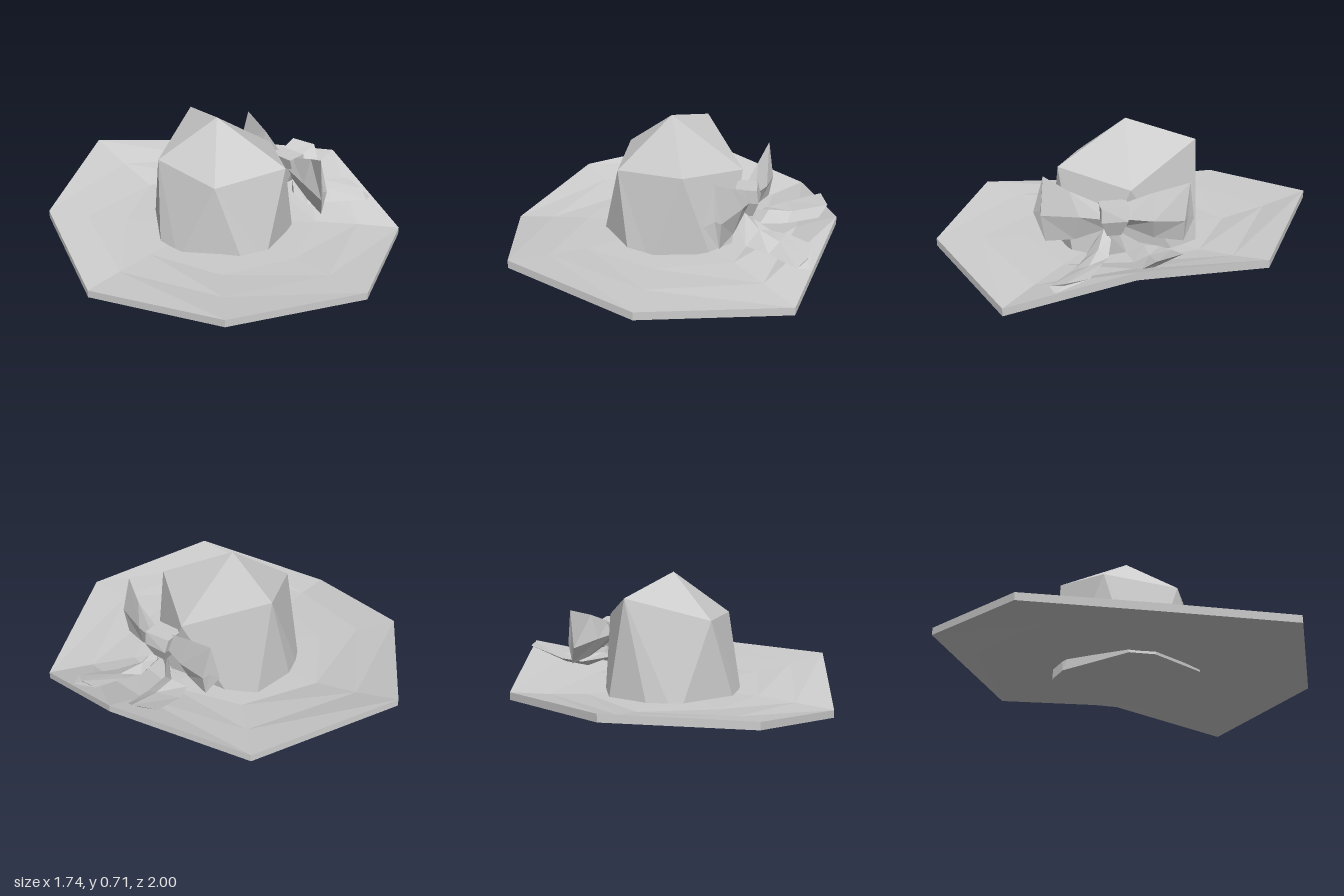
import * as THREE from 'three';

const material = new THREE.MeshStandardMaterial({ color: 0xcccccc, flatShading: true, side: THREE.DoubleSide });

// Faceted skin over a list of equal-length rings, closed at both ends by fans
function loft(name, rings, startPoint, endPoint) {
  const sections = rings.map(r => r.map(p => new THREE.Vector3(...p)));
  const middle = r => r.reduce((s, p) => s.add(p), new THREE.Vector3()).divideScalar(r.length);
  const first = sections[0], last = sections[sections.length - 1];
  const start = startPoint ? new THREE.Vector3(...startPoint) : middle(first);
  const end = endPoint ? new THREE.Vector3(...endPoint) : middle(last);
  const pos = [];
  const tri = (a, b, c) => {
    if (a.equals(b) || b.equals(c) || a.equals(c)) return;
    for (const p of [a, b, c]) pos.push(p.x, p.y, p.z);
  };
  const n = first.length;
  for (let i = 0; i < n; i++) {
    const j = (i + 1) % n;
    tri(start, first[j], first[i]);
    for (let k = 0; k < sections.length - 1; k++) {
      const a = sections[k], b = sections[k + 1];
      tri(a[i], a[j], b[i]);
      tri(a[j], b[j], b[i]);
    }
    tri(end, last[i], last[j]);
  }
  const geometry = new THREE.BufferGeometry();
  geometry.setAttribute('position', new THREE.Float32BufferAttribute(pos, 3));
  geometry.computeVertexNormals();
  const mesh = new THREE.Mesh(geometry, material);
  mesh.name = name;
  return mesh;
}

// Wavy octagonal brim: the edge heights fade to a level middle
function makeBrim() {
  const edge = [
    [0, 0.24, -1], [0.66, 0.155, -0.59], [0.87, 0.25, 0.1], [0.71, 0.04, 0.7],
    [0.01, 0.11, 1], [-0.67, 0.16, 0.71], [-0.87, 0.055, -0.03], [-0.64, 0.16, -0.64],
  ];
  const ring = (scale, lift, drop) =>
    edge.map(([x, y, z]) => [x * scale, 0.09 + (y - 0.09) * lift - drop, z * scale]);
  const t = 0.04;
  return loft('brim', [
    ring(0.54, 0.12, 0), ring(0.77, 0.5, 0), ring(1, 1, 0),
    ring(1, 1, t), ring(0.77, 0.5, t), ring(0.54, 0.12, t),
  ]);
}

// Crown: five shoulder corners over ten foot corners
function makeCrown() {
  const shoulder = [
    [0.14, 0.62, -0.34], [0.38, 0.45, 0.04], [0.12, 0.505, 0.37],
    [-0.24, 0.47, 0.22], [-0.26, 0.5, -0.17],
  ];
  const foot = [
    [0.24, 0.06, -0.33], [0.31, 0.07, -0.2], [0.35, 0.1, 0.19], [0.25, 0.1, 0.32],
    [-0.04, 0.045, 0.395], [-0.16, 0.045, 0.35], [-0.36, 0.035, 0.07], [-0.36, 0.035, -0.06],
    [-0.14, 0.005, -0.35], [-0.01, 0.005, -0.385],
  ];
  const upper = shoulder.flatMap((p, i) => [p, shoulder[(i + 1) % 5]]);
  return loft('crown', [upper, foot], [0, 0.71, 0], [0, 0.03, 0]);
}

// Bow: knot, two flared loops and two tails lying on the brim
function makeBow() {
  const bow = new THREE.Group();
  bow.name = 'bow';

  bow.add(loft('knot', [
    [[0.36, 0.4, 0.06], [0.46, 0.4, 0.06], [0.47, 0.4, 0.2], [0.36, 0.4, 0.2]],
    [[0.38, 0.33, 0.07], [0.48, 0.33, 0.07], [0.48, 0.33, 0.2], [0.38, 0.33, 0.2]],
    [[0.38, 0.25, 0.1], [0.45, 0.25, 0.1], [0.45, 0.25, 0.17], [0.38, 0.25, 0.17]],
  ]));

  // Loop sections run top, outer, bottom, inner
  bow.add(loft('frontLoop', [
    [[0.41, 0.39, 0.17], [0.44, 0.33, 0.17], [0.41, 0.27, 0.17], [0.38, 0.33, 0.17]],
    [[0.36, 0.46, 0.34], [0.41, 0.34, 0.3], [0.37, 0.21, 0.32], [0.31, 0.33, 0.34]],
    [[0.29, 0.52, 0.46], [0.33, 0.33, 0.48], [0.32, 0.19, 0.46], [0.25, 0.32, 0.51]],
  ]));
  bow.add(loft('backLoop', [
    [[0.41, 0.4, 0.08], [0.45, 0.33, 0.08], [0.41, 0.28, 0.08], [0.38, 0.33, 0.08]],
    [[0.45, 0.46, -0.06], [0.5, 0.33, -0.05], [0.46, 0.23, -0.06], [0.41, 0.33, -0.06]],
    [[0.49, 0.515, -0.23], [0.52, 0.33, -0.2], [0.5, 0.22, -0.2], [0.46, 0.32, -0.26]],
  ]));

  // Tail sections run from one edge over the ridge to the other edge, then beneath
  bow.add(loft('frontTail', [
    [[0.38, 0.2, 0.22], [0.41, 0.27, 0.18], [0.45, 0.23, 0.15], [0.41, 0.19, 0.18]],
    [[0.43, 0.13, 0.28], [0.49, 0.2, 0.22], [0.55, 0.18, 0.18], [0.49, 0.13, 0.23]],
    [[0.55, 0.13, 0.35], [0.6, 0.17, 0.28], [0.63, 0.19, 0.22], [0.59, 0.13, 0.28]],
    [[0.7, 0.13, 0.48], [0.75, 0.16, 0.41], [0.76, 0.18, 0.3], [0.76, 0.12, 0.46]],
  ]));
  bow.add(loft('backTail', [
    [[0.4, 0.22, 0.14], [0.42, 0.26, 0.11], [0.44, 0.22, 0.08], [0.41, 0.19, 0.11]],
    [[0.48, 0.17, 0.08], [0.52, 0.22, 0], [0.5, 0.2, -0.08], [0.5, 0.16, 0]],
    [[0.62, 0.18, 0.07], [0.64, 0.22, 0], [0.6, 0.22, -0.12], [0.62, 0.18, -0.03]],
    [[0.78, 0.22, 0.06], [0.82, 0.27, 0], [0.78, 0.28, -0.13], [0.77, 0.22, 0]],
  ]));
  return bow;
}

export function createModel() {
  const hat = new THREE.Group();
  hat.name = 'sunHat';
  hat.add(makeBrim(), makeCrown(), makeBow());
  return hat;
}
